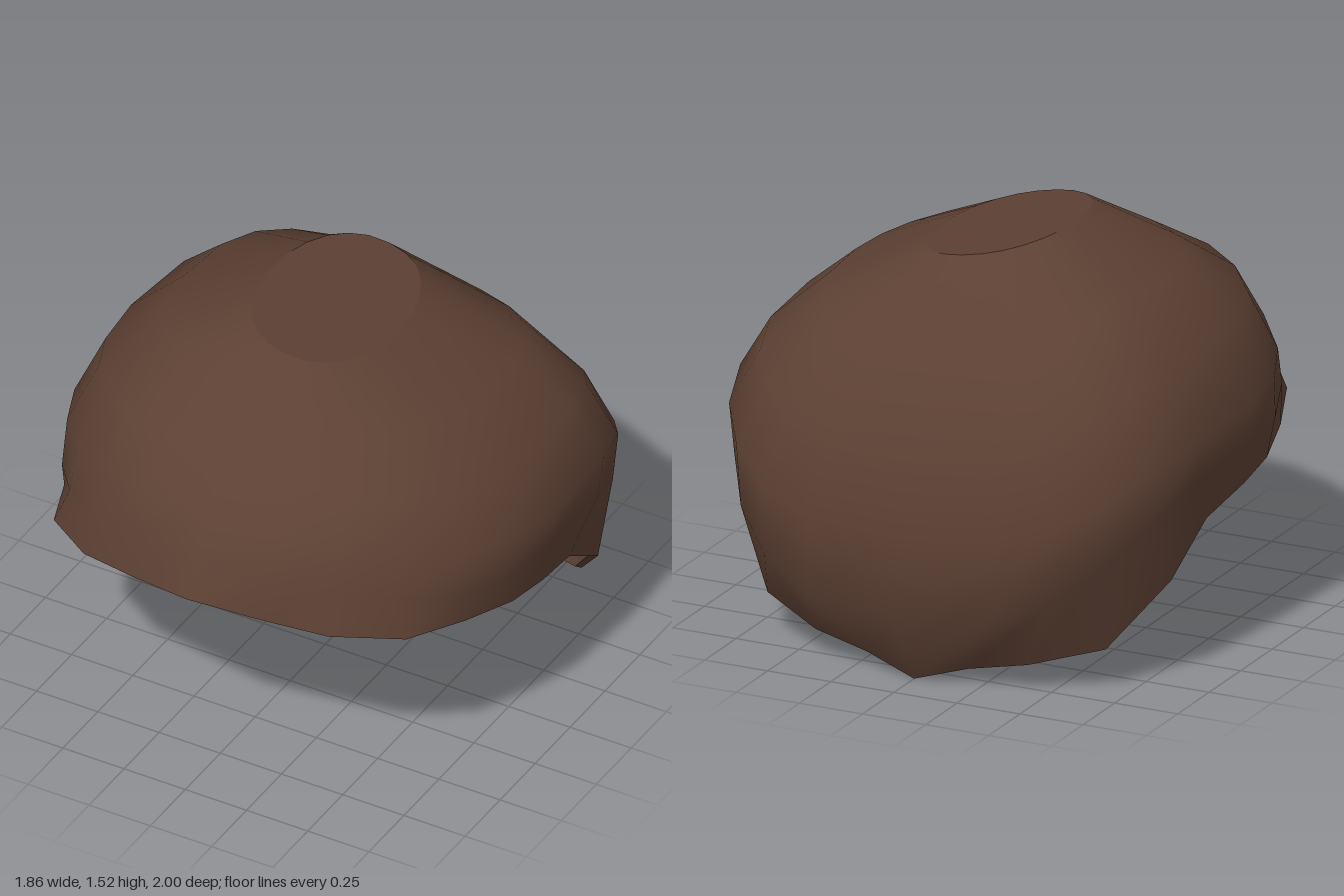
import * as THREE from 'three';

const SEG = 24;

// Lower edge from front centre, round the left side, to back centre: x, y, z
const RIM = [
  [0, 0.84, 1], [0.25, 0.79, 0.92], [0.5, 0.76, 0.85], [0.72, 0.72, 0.68],
  [0.82, 0.68, 0.43], [0.88, 0.64, 0.2], [0.89, 0.61, 0], [0.86, 0.55, -0.24],
  [0.84, 0.39, -0.48], [0.67, 0.16, -0.66], [0.42, 0.1, -0.78], [0.2, 0.06, -0.81],
  [0, 0, -0.84],
];

// Rings above the rim: front z/y, side x/y, back z/y, centre z, sideways tilt,
// and roundness of the front and back halves (lower is squarer)
const RINGS = [
  { f: [0.92, 0.97], s: [0.91, 0.76], b: [-0.98, 0.27], cz: 0, tilt: 0, pf: 0.92, pb: 0.68 },
  { f: [0.84, 1.11], s: [0.93, 0.92], b: [-1.0, 0.58], cz: -0.02, tilt: 0, pf: 0.95, pb: 0.7 },
  { f: [0.7, 1.25], s: [0.815, 1.14], b: [-0.92, 0.86], cz: -0.04, tilt: 0.04, pf: 0.88, pb: 0.7 },
  { f: [0.46, 1.37], s: [0.615, 1.315], b: [-0.75, 1.18], cz: -0.06, tilt: 0.07, pf: 0.88, pb: 0.76 },
  { f: [0.3, 1.475], s: [0.26, 1.475], b: [-0.46, 1.475], cz: -0.06, tilt: 0.17, pf: 0.95, pb: 0.9 },
];

function rimRing() {
  return Array.from({ length: SEG }, (_, i) => {
    const [x, y, z] = RIM[i <= 12 ? i : SEG - i];
    return [i <= 12 ? x : -x, y, z];
  });
}

function domeRing({ f, s, b, cz, tilt, pf, pb }) {
  return Array.from({ length: SEG }, (_, i) => {
    const t = (i / SEG) * Math.PI * 2;
    const c = Math.cos(t), sn = Math.sin(t);
    const [end, p] = c > 0 ? [f, pf] : [b, pb];
    const x = s[0] * Math.sign(sn) * Math.abs(sn) ** p;
    const y = s[1] + (end[1] - s[1]) * c * c - tilt * x;
    return [x, y, cz + (end[0] - cz) * Math.abs(c) ** p];
  });
}

// Skin a stack of closed rings; optionally close the last ring with a fan
function loft(rings, inward = false, closed = false) {
  const pos = rings.flat(2);
  const index = [];
  const tri = (a, b, c) => (inward ? index.push(a, c, b) : index.push(a, b, c));
  for (let k = 0; k < rings.length - 1; k++) {
    for (let i = 0; i < SEG; i++) {
      const j = (i + 1) % SEG;
      const a = k * SEG + i, b = k * SEG + j;
      tri(a, b, b + SEG);
      tri(a, b + SEG, a + SEG);
    }
  }
  if (closed) {
    const last = rings[rings.length - 1];
    const base = (rings.length - 1) * SEG;
    const centre = pos.length / 3;
    pos.push(...[0, 1, 2].map((n) => last.reduce((sum, v) => sum + v[n], 0) / SEG));
    for (let i = 0; i < SEG; i++) tri(base + i, base + ((i + 1) % SEG), centre);
  }
  const g = new THREE.BufferGeometry();
  g.setAttribute('position', new THREE.Float32BufferAttribute(pos, 3));
  g.setIndex(index);
  g.computeVertexNormals();
  return g;
}

export function createModel() {
  const group = new THREE.Group();
  group.name = 'hairCap';
  const brown = new THREE.MeshStandardMaterial({ color: 0x5c4033 });
  brown.name = 'dark brown';

  const add = (name, geometry) => {
    const mesh = new THREE.Mesh(geometry, brown);
    mesh.name = name;
    group.add(mesh);
  };

  const outer = [rimRing(), ...RINGS.map(domeRing)];
  const inner = outer.map((ring, k) =>
    ring.map(([x, y, z]) => [x * 0.975, y + (k === 0 ? 0.01 : -0.025), z * 0.975]));
  const crown = outer[outer.length - 1];

  // Smooth outside, with a flat slanted facet on the crown
  add('outerShell', loft(outer));
  add('crownFacet', loft([crown], false, true));

  // Hollow inside and the thin edge joining both skins
  add('lining', loft(inner, true, true));
  add('rimEdge', loft([inner[0], outer[0]]));

  return group;
}
